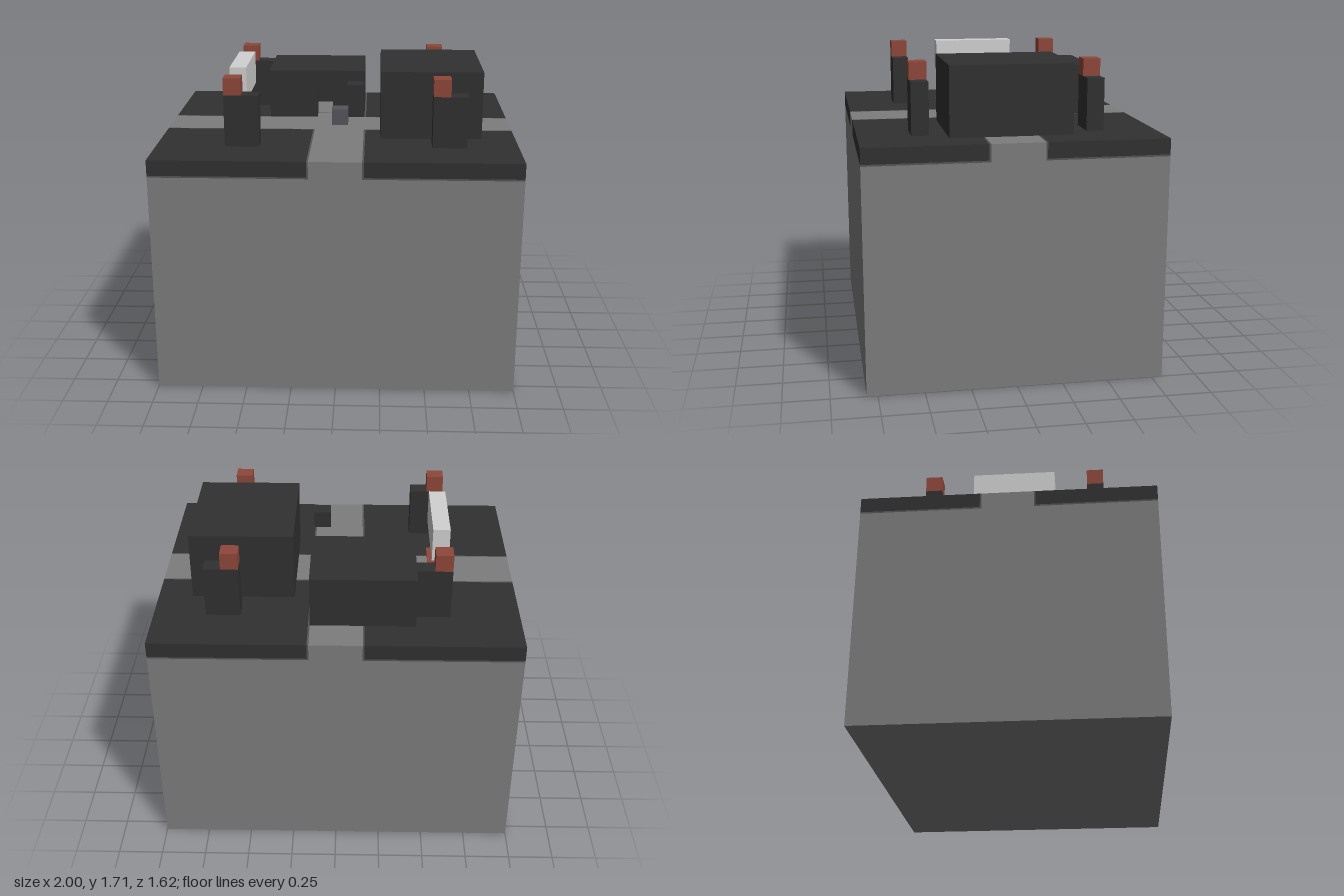
import * as THREE from 'three';

const U = 2 / 21; // one block

export function createModel() {
  const model = new THREE.Group();
  const mat = (name, color) => {
    const m = new THREE.MeshStandardMaterial({ color });
    m.name = name;
    return m;
  };
  const stone = mat('stone grey', 0x7d7d7d);
  const dark = mat('charcoal', 0x313131);
  const curb = mat('curb grey', 0x555555);
  const red = mat('brick red', 0x8f483b);
  const white = mat('pale grey', 0xd2d2d2);
  const slate = mat('slate', 0x55555d);

  // Box given by its extents in blocks
  const block = (name, material, x0, x1, y0, y1, z0, z1, parent = model) => {
    const mesh = new THREE.Mesh(
      new THREE.BoxGeometry((x1 - x0) * U, (y1 - y0) * U, (z1 - z0) * U), material);
    mesh.position.set((x0 + x1) / 2 * U, (y0 + y1) / 2 * U, (z0 + z1) / 2 * U);
    mesh.name = name;
    parent.add(mesh);
    return mesh;
  };
  const group = (name) => {
    const g = new THREE.Group();
    g.name = name;
    model.add(g);
    return g;
  };

  // Ground block and crossing roads
  block('groundBlock', stone, -10.5, 10.5, 0, 13, -8.5, 8.5);
  block('crossRoad', stone, -10.5, 10.5, 13, 14, -1.5, 1.5);
  for (const s of [-1, 1]) {
    block('road', stone, -1.5, 1.5, 13, 14, Math.min(s * 1.5, s * 8.5), Math.max(s * 1.5, s * 8.5));
  }

  // Four corner slabs with a thin curb line along the roads and the bottom
  const e = 0.1;
  for (const sx of [-1, 1]) for (const sz of [-1, 1]) {
    const g = group('cornerSlab');
    const part = (name, m, x0, x1, y0, y1, z0, z1) => block(name, m,
      Math.min(sx * x0, sx * x1), Math.max(sx * x0, sx * x1), y0, y1,
      Math.min(sz * z0, sz * z1), Math.max(sz * z0, sz * z1), g);
    part('paving', dark, 1.5 + e, 10.5, 13 + e, 14, 1.5 + e, 8.5);
    part('curbBase', curb, 1.5, 10.5, 13, 13 + e, 1.5, 8.5);
    part('curbAlongRoad', curb, 1.5, 1.5 + e, 13 + e, 14, 1.5, 8.5);
    part('curbAlongCrossRoad', curb, 1.5 + e, 10.5, 13 + e, 14, 1.5, 1.5 + e);
  }

  // Hollow house with a doorway in its front wall
  const house = group('house');
  block('backWall', dark, -4.5, 1.5, 14, 16, -6.5, -5.5, house);
  block('rightWall', dark, -4.5, -3.5, 14, 16, -5.5, -1.5, house);
  block('leftWall', dark, 0.5, 1.5, 14, 16, -5.5, -1.5, house);
  block('frontWallRight', dark, -3.5, -1.5, 14, 16, -2.5, -1.5, house);
  block('frontWallLeft', dark, -0.5, 0.5, 14, 16, -2.5, -1.5, house);
  block('roof', dark, -4.5, 1.5, 16, 17, -6.5, -1.5, house);
  block('floor', stone, -3.5, 0.5, 14, 14.05, -5.5, -2.5, house);

  // Larger hall
  block('hall', dark, 2.5, 8.5, 14, 18, -3.5, 3.5);

  // Posts with red lamps
  for (const x of [-6.5, 5.5]) for (const z of [-5.5, 4.5]) {
    const post = group('lampPost');
    block('post', dark, x, x + 2, 14, 17, z, z + 1, post);
    block('lamp', red, x, x + 1, 17, 18, z, z + 1, post);
  }

  // Raised barrier over its ground strip
  block('barrier', white, -6.5, -5.5, 16, 18, -2.5, 2.5);
  block('groundStrip', red, -6.5, -5.5, 14, 14.06, -2.5, 2.5);

  // Small cubes at the crossing
  block('centreCube', slate, -0.5, 0.5, 14, 15, -0.5, 0.5);
  block('floatingCube', dark, 0.5, 1.5, 16, 17, 1.5, 2.5);

  return model;
}
